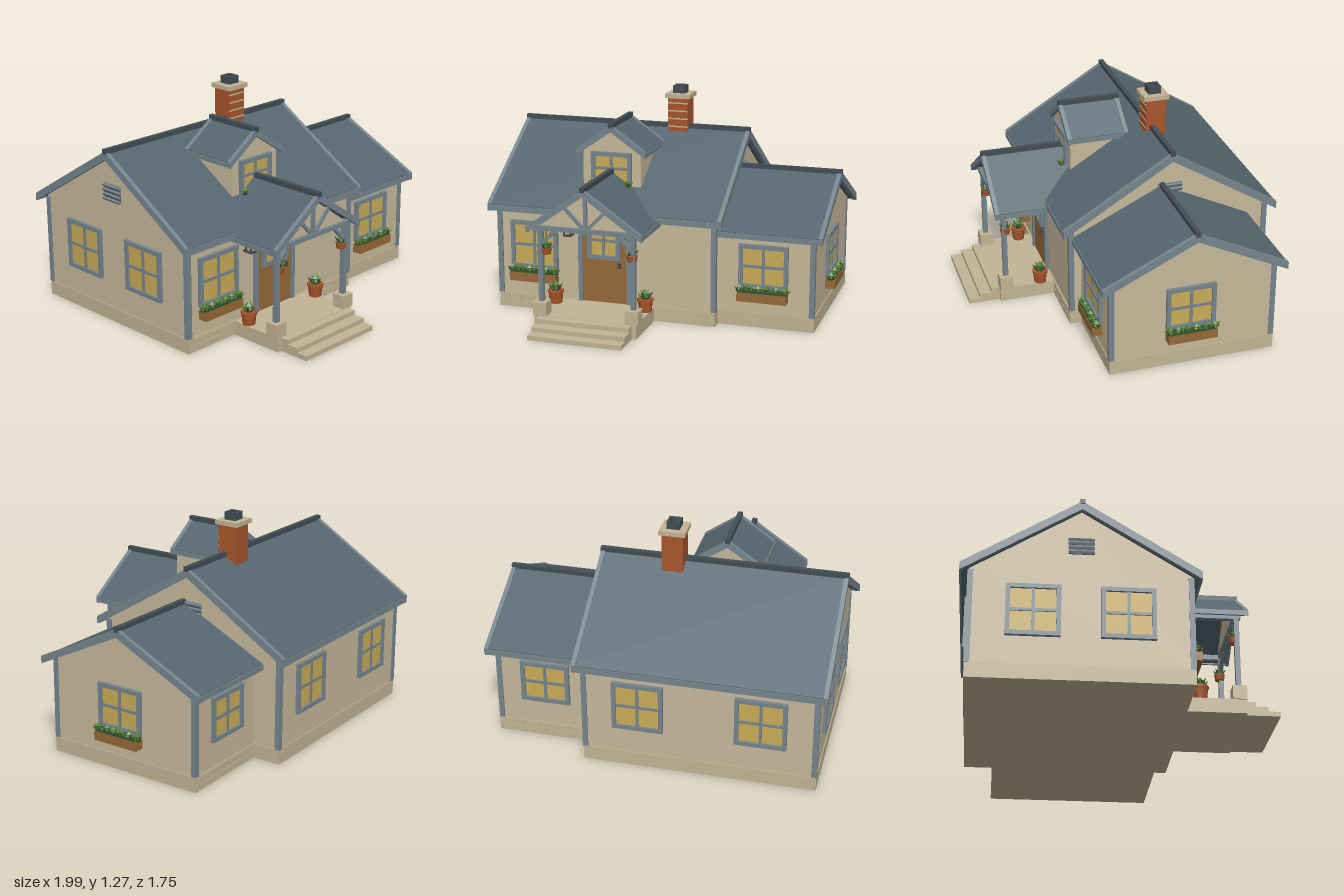
import * as THREE from 'three';

const mat = (name, color) => {
  const m = new THREE.MeshStandardMaterial({ color });
  m.name = name;
  return m;
};

export function createModel() {
  const M = {
    wall: mat('plaster', 0xc6b89a), stone: mat('stone', 0xc2b494), roof: mat('slate', 0x55656f),
    trim: mat('painted trim', 0x76858e), dark: mat('dark metal', 0x414d55), glass: mat('lit glass', 0xcaac58),
    wood: mat('wood', 0x966937), brick: mat('brick', 0xa8552a),
    leaf: mat('leaf', 0x54802f), deepLeaf: mat('deep leaf', 0x33562a),
  };
  const root = new THREE.Group();
  root.name = 'cottage';

  const add = (name, geo, m, p, parent = root) => {
    const mesh = new THREE.Mesh(geo, m);
    mesh.name = name;
    mesh.position.set(...p);
    parent.add(mesh);
    return mesh;
  };
  const group = (name, p = [0, 0, 0], ry = 0, parent = root) => {
    const g = new THREE.Group();
    g.name = name;
    g.position.set(...p);
    g.rotation.y = ry;
    parent.add(g);
    return g;
  };
  // Box given by its limits on each axis
  const block = (name, m, [x0, x1], [y0, y1], [z0, z1], parent) =>
    add(name, new THREE.BoxGeometry(x1 - x0, y1 - y0, z1 - z0), m,
      [(x0 + x1) / 2, (y0 + y1) / 2, (z0 + z1) / 2], parent);
  // Straight timber between two points of an xy plane
  const bar = (name, a, b, z, w, d, parent) => {
    const dx = b[0] - a[0], dy = b[1] - a[1];
    add(name, new THREE.BoxGeometry(Math.hypot(dx, dy), w, d), M.trim,
      [(a[0] + b[0]) / 2, (a[1] + b[1]) / 2, z], parent).rotation.z = Math.atan2(dy, dx);
  };
  const prism = (name, pts, z0, z1, m, parent) => add(name, new THREE.ExtrudeGeometry(
    new THREE.Shape(pts.map(p => new THREE.Vector2(...p))),
    { depth: z1 - z0, bevelEnabled: false }), m, [0, 0, z0], parent);

  // Gabled volume with its ridge along local z: walls, slab, verges, eaves, ridge cap
  function gable(name, pos, ry, o) {
    const g = group(name, pos, ry);
    const { s, r, e, t, roof: [a, b], ends } = o;
    const chevron = (k, up, th) => [[-k, e + up - (k - s) * (r - e) / s], [-k, e - th], [0, r - th],
      [k, e - th], [k, e + up - (k - s) * (r - e) / s], [0, r + up]];
    prism('roofSlab', chevron(s, 0, t), a, b, M.roof, g);
    for (const end of ends) {
      const z = end < 0 ? a : b;
      prism('vergeBoard', chevron(s + 0.004, 0.006, t + 0.008), z - 0.012, z + 0.012, M.trim, g);
    }
    for (const k of [-1, 1])
      add('eaveBoard', new THREE.BoxGeometry(0.012, t, b - a), M.trim, [k * s, e - t / 2 - 0.004, (a + b) / 2], g);
    add('ridgeCap', new THREE.BoxGeometry(0.028, 0.028, b - a + 0.028), M.dark, [0, r + 0.004, (a + b) / 2], g);
    if (o.wall) {
      const h = o.half, under = r - t * 0.6, side = under - h * (r - e) / s;
      prism('walls', [[-h, o.base], [h, o.base], [h, side], [0, under], [-h, side]], ...o.wall, M.wall, g);
    }
    return g;
  }

  gable('mainHouse', [-0.285, 0, -0.235], Math.PI / 2, {
    s: 0.635, r: 1.025, e: 0.632, t: 0.035, roof: [-0.693, 0.693], ends: [-1, 1], wall: [-0.655, 0.655], half: 0.59, base: 0.08 });
  gable('sideWing', [0.4, 0, -0.185], Math.PI / 2, {
    s: 0.525, r: 0.82, e: 0.565, t: 0.032, roof: [-0.03, 0.57], ends: [1], wall: [-0.04, 0.53], half: 0.475, base: 0.08 });
  gable('dormer', [-0.285, 0, 0], 0, {
    s: 0.205, r: 1.098, e: 0.955, t: 0.026, roof: [-0.118, 0.226], ends: [-1, 1], wall: [-0.105, 0.215], half: 0.175, base: 0.7 });
  const porch = gable('porchRoof', [-0.285, 0, 0], 0, {
    s: 0.335, r: 0.833, e: 0.602, t: 0.028, roof: [0.05, 0.698], ends: [1] });

  // Foundations, porch floor and steps
  block('mainFoundation', M.stone, [-0.945, 0.376], [0, 0.085], [-0.83, 0.362]);
  block('wingFoundation', M.stone, [0.37, 0.935], [0, 0.085], [-0.665, 0.295]);
  block('porchFloor', M.stone, [-0.59, 0.015], [0, 0.082], [0.35, 0.69]);
  [[0.74, 0.08], [0.81, 0.053], [0.875, 0.027]].forEach(([z, h], i) =>
    block('step' + (i + 1), M.stone, [-0.56, -0.01], [0, h], [0.66, z]));
  // Facing stones in two staggered courses
  for (const [x0, x1, z] of [[-0.94, -0.6, 0.362], [0.02, 0.37, 0.362], [0.38, 0.93, -0.665]])
    for (let row = 0; row < 2; row++)
      for (let x = x0 - row * 0.045; x < x1; x += 0.09)
        block('facingStone', M.stone, [Math.max(x, x0), Math.min(x + 0.085, x1)],
          [0.004 + row * 0.04, 0.04 + row * 0.04], [z - 0.003, z + 0.003]);

  // Corner boards
  for (const [x, z, top] of [[-0.932, 0.35, 0.615], [0.366, 0.35, 0.615], [-0.932, -0.818, 0.615],
    [0.366, -0.818, 0.615], [0.92, 0.282, 0.56], [0.92, -0.652, 0.56]])
    block('cornerBoard', M.trim, [x - 0.015, x + 0.015], [0.085, top], [z - 0.015, z + 0.015]);

  // Spiky clump of leaves
  function clump(x, y, z, size, parent) {
    const g = group('plant', [x, y, z], x * 17, parent);
    add('foliage', new THREE.IcosahedronGeometry(size * 0.6), M.deepLeaf, [0, size * 0.25, 0], g).scale.y = 0.7;
    for (let i = 0; i < 6; i++) {
      const a = i * Math.PI / 3, c = i % 2 ? M.leaf : M.deepLeaf;
      const geo = new THREE.ConeGeometry(size * 0.28, size, 4).toNonIndexed();
      geo.computeVertexNormals();
      const m = add('leaf', geo, c, [Math.cos(a) * size * 0.5, size * 0.42, Math.sin(a) * size * 0.5], g);
      m.rotation.set(Math.sin(a) * 0.75, 0, -Math.cos(a) * 0.75);
    }
    add('topLeaf', new THREE.OctahedronGeometry(size * 0.45), M.leaf, [0, size * 0.65, 0], g);
  }

  // Window facing local +z, optionally with a planted box
  function windowUnit(name, pos, ry, w, h, planted) {
    const g = group(name, pos, ry);
    const f = 0.024;
    add('pane', new THREE.BoxGeometry(w - f, h - f, 0.008), M.glass, [0, 0, 0.004], g);
    for (const k of [-1, 1]) {
      add('jamb', new THREE.BoxGeometry(f, h, 0.024), M.trim, [k * (w - f) / 2, 0, 0.008], g);
      add('rail', new THREE.BoxGeometry(w, f, 0.026), M.trim, [0, k * (h - f) / 2, 0.008], g);
    }
    add('mullion', new THREE.BoxGeometry(0.016, h - f, 0.018), M.trim, [0, 0, 0.006], g);
    add('transom', new THREE.BoxGeometry(w - f, 0.016, 0.018), M.trim, [0, 0, 0.006], g);
    if (planted) {
      const y = -h / 2 - 0.045;
      add('flowerBox', new THREE.BoxGeometry(0.285, 0.052, 0.058), M.wood, [0, y, 0.029], g);
      add('greenery', new THREE.BoxGeometry(0.27, 0.02, 0.048), M.deepLeaf, [0, y + 0.03, 0.03], g);
      for (let i = 0; i < 6; i++) clump((i - 2.5) * 0.052, y + 0.026, 0.032, 0.042, g);
    }
  }
  const back = Math.PI, side = Math.PI / 2;
  windowUnit('frontWindow', [-0.715, 0.393, 0.355], 0, 0.29, 0.285, true);
  windowUnit('wingFrontWindow', [0.64, 0.362, 0.29], 0, 0.285, 0.255, true);
  windowUnit('wingSideWindow', [0.93, 0.362, -0.17], side, 0.285, 0.255, true);
  windowUnit('wingBackWindow', [0.645, 0.362, -0.66], back, 0.285, 0.255);
  for (const x of [-0.63, 0.06]) windowUnit('backWindow', [x, 0.39, -0.825], back, 0.29, 0.295);
  for (const z of [-0.485, 0.015]) windowUnit('gableWindow', [-0.94, 0.39, z], -side, 0.29, 0.295);
  windowUnit('dormerWindow', [-0.285, 0.85, 0.215], 0, 0.245, 0.19);
  for (const x of [-0.39, -0.18]) clump(x, 0.752, 0.25, 0.04);

  // Louvred vents in both main gables
  for (const k of [-1, 1]) {
    const v = group('gableVent', [-0.285 + k * 0.657, 0.78, -0.235], k * side);
    add('ventBack', new THREE.BoxGeometry(0.135, 0.095, 0.008), M.dark, [0, 0, 0], v);
    for (let i = 0; i < 4; i++)
      add('louvre', new THREE.BoxGeometry(0.14, 0.013, 0.02), M.trim, [0, (i - 1.5) * 0.026, 0.005], v).rotation.x = 0.4;
  }

  // Front door
  block('doorLeaf', M.wood, [-0.415, -0.145], [0.085, 0.59], [0.35, 0.368]);
  block('doorPostRight', M.trim, [-0.44, -0.413], [0.085, 0.6], [0.35, 0.378]);
  block('doorPostLeft', M.trim, [-0.147, -0.12], [0.085, 0.6], [0.35, 0.378]);
  block('doorHead', M.trim, [-0.44, -0.12], [0.585, 0.61], [0.35, 0.378]);
  windowUnit('doorWindow', [-0.283, 0.46, 0.366], 0, 0.2, 0.225);
  block('doorHandle', M.dark, [-0.198, -0.183], [0.3, 0.33], [0.366, 0.385]);

  // Wall lantern
  block('lanternGlass', M.glass, [-0.508, -0.476], [0.485, 0.535], [0.375, 0.41]);
  block('lanternCap', M.dark, [-0.515, -0.469], [0.533, 0.543], [0.355, 0.417]);
  block('lanternBase', M.dark, [-0.515, -0.469], [0.475, 0.487], [0.355, 0.417]);
  for (const x of [-0.511, -0.473]) for (const z of [0.374, 0.412])
    block('lanternBar', M.dark, [x - 0.004, x + 0.004], [0.48, 0.54], [z - 0.004, z + 0.004]);

  // Porch front: filled gable, tie beam and fanned struts
  prism('porchGable', [[-0.29, 0.59], [0.29, 0.59], [0, 0.8]], 0.635, 0.655, M.wall, porch);
  bar('tieBeam', [-0.29, 0.592], [0.29, 0.592], 0.655, 0.026, 0.04, porch);
  bar('kingPost', [0, 0.59], [0, 0.81], 0.66, 0.02, 0.024, porch);
  for (const k of [-1, 1]) {
    bar('strut', [k * 0.01, 0.6], [k * 0.13, 0.725], 0.66, 0.018, 0.022, porch);
    bar('kneeBrace', [k * 0.265, 0.5], [k * 0.18, 0.583], 0.65, 0.02, 0.022, porch);
    const x = k * 0.273;
    block('porchBeam', M.trim, [x - 0.014, x + 0.014], [0.57, 0.6], [0.35, 0.67], porch);
    block('porchPost', M.trim, [x - 0.014, x + 0.014], [0.15, 0.6], [0.636, 0.664], porch);
    block('postBase', M.stone, [x - 0.04, x + 0.04], [0.08, 0.16], [0.612, 0.69], porch);
    // Floor pot and hanging basket
    add('pot', new THREE.CylinderGeometry(0.044, 0.036, 0.075, 10), M.brick, [x, 0.119, 0.44], porch);
    add('potRim', new THREE.CylinderGeometry(0.047, 0.047, 0.014, 10), M.brick, [x, 0.152, 0.44], porch);
    clump(x, 0.155, 0.44, 0.055, porch);
    const hx = k < 0 ? -0.245 : 0.263;
    add('hangingBasket', new THREE.CylinderGeometry(0.032, 0.026, 0.036, 10), M.brick, [hx, 0.454, 0.64], porch);
    add('basketCord', new THREE.CylinderGeometry(0.003, 0.003, 0.11, 6), M.dark, [hx, 0.525, 0.64], porch);
    clump(hx, 0.468, 0.64, 0.046, porch);
  }

  // Chimney with mortar courses and an open flue
  block('chimneyStack', M.brick, [-0.073, 0.048], [0.85, 1.2], [-0.315, -0.195]);
  for (let i = 0; i < 4; i++) {
    const y = 1.025 + i * 0.047;
    block('mortarCourse', M.stone, [-0.073, 0.048], [y, y + 0.008], [-0.197, -0.192]);
  }
  block('chimneyCap', M.stone, [-0.088, 0.063], [1.2, 1.226], [-0.33, -0.18]);
  const ring = new THREE.Shape([[-1, -1], [1, -1], [1, 1], [-1, 1]].map(([x, y]) => new THREE.Vector2(x * 0.037, y * 0.037)));
  ring.holes.push(new THREE.Path([[-1, -1], [-1, 1], [1, 1], [1, -1]].map(([x, y]) => new THREE.Vector2(x * 0.024, y * 0.024))));
  add('flue', new THREE.ExtrudeGeometry(ring, { depth: 0.046, bevelEnabled: false }), M.dark,
    [-0.012, 1.225, -0.255]).rotation.x = -Math.PI / 2;

  return root;
}
